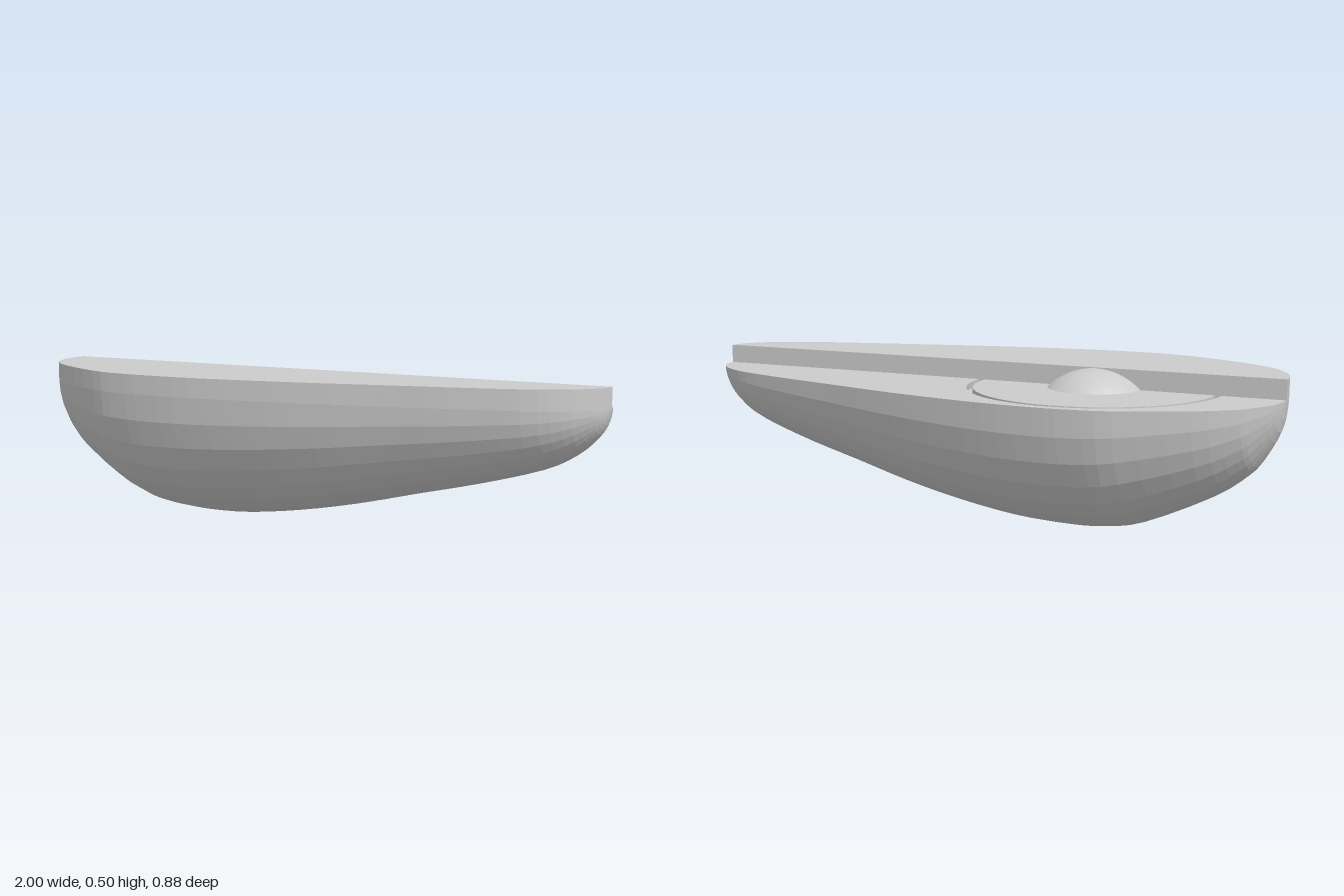
import * as THREE from 'three';

const DECK = 0.4375, TOP = 0.5;             // low rear deck and raised front deck
const PIVOT = -0.4, R_IN = 0.385, R_OUT = 0.405, DEPTH = 0.02;

export function createModel() {
  const group = new THREE.Group();
  const flat = new THREE.MeshStandardMaterial({ color: 0xcccccc, flatShading: true, side: THREE.DoubleSide });
  const smooth = new THREE.MeshStandardMaterial({ color: 0xcccccc, side: THREE.DoubleSide });
  const add = (name, geometry, material, x = 0, y = 0, z = 0) => {
    const mesh = new THREE.Mesh(geometry, material);
    mesh.name = name;
    mesh.position.set(x, y, z);
    group.add(mesh);
  };

  // Teardrop outline: length along x, half-width as y
  const outline = new THREE.SplineCurve([
    [-1, 0], [-0.987, 0.095], [-0.94, 0.187], [-0.9, 0.235], [-0.8, 0.309],
    [-0.6, 0.404], [-0.48, 0.431], [-0.36, 0.4375], [-0.2, 0.43], [0, 0.401],
    [0.2, 0.36], [0.4, 0.309], [0.6, 0.259], [0.8, 0.199], [0.9, 0.148],
    [0.96, 0.094], [0.988, 0.05], [1, 0],
  ].map(([x, r]) => new THREE.Vector2(x, r))).getPoints(51);
  outline.forEach((p) => { p.y = Math.max(0, p.y); });

  // Hull: half a turned teardrop, lying along x
  const hull = new THREE.LatheGeometry(outline.map((p) => new THREE.Vector2(p.y, p.x)), 16, 0, Math.PI);
  hull.rotateZ(-Math.PI / 2);
  add('hull', hull, flat, 0, DECK, 0);

  // Raised front half
  const step = new THREE.ExtrudeGeometry(new THREE.Shape(outline), { depth: TOP - DECK, bevelEnabled: false });
  step.rotateX(Math.PI / 2);
  add('raisedFrontDeck', step, flat, 0, TOP, 0);

  // Rear deck with a half-round opening for the groove
  const deckShape = new THREE.Shape(outline);
  deckShape.lineTo(PIVOT + R_OUT, 0);
  deckShape.absarc(PIVOT, 0, R_OUT, 0, Math.PI, false);
  const deck = new THREE.ShapeGeometry(deckShape, 40);
  deck.rotateX(-Math.PI / 2);
  add('rearDeck', deck, flat, 0, DECK, 0);

  const disc = new THREE.CircleGeometry(R_IN, 40, 0, Math.PI);
  disc.rotateX(-Math.PI / 2);
  add('deckDisc', disc, flat, PIVOT, DECK, 0);

  // Groove: inner wall, floor and outer wall
  const section = [[R_IN, 0], [R_IN, -DEPTH], [R_OUT, -DEPTH], [R_OUT, 0]];
  const groove = new THREE.LatheGeometry(
    section.map(([r, y]) => new THREE.Vector2(r, y)), 40, Math.PI / 2, Math.PI);
  add('groove', groove, flat, PIVOT, DECK, 0);
  for (const side of [-1, 1]) {
    add('grooveEnd', new THREE.PlaneGeometry(R_OUT - R_IN, DEPTH), flat,
      PIVOT + side * (R_IN + R_OUT) / 2, DECK - DEPTH / 2, 0);
  }

  // Half dome against the step
  const rise = 0.06, rim = 0.15;
  const radius = (rim * rim + rise * rise) / (2 * rise);
  const dome = new THREE.SphereGeometry(radius, 32, 10, Math.PI, Math.PI, 0, Math.asin(rim / radius));
  add('dome', dome, smooth, PIVOT, DECK + rise - radius, 0);

  return group;
}
